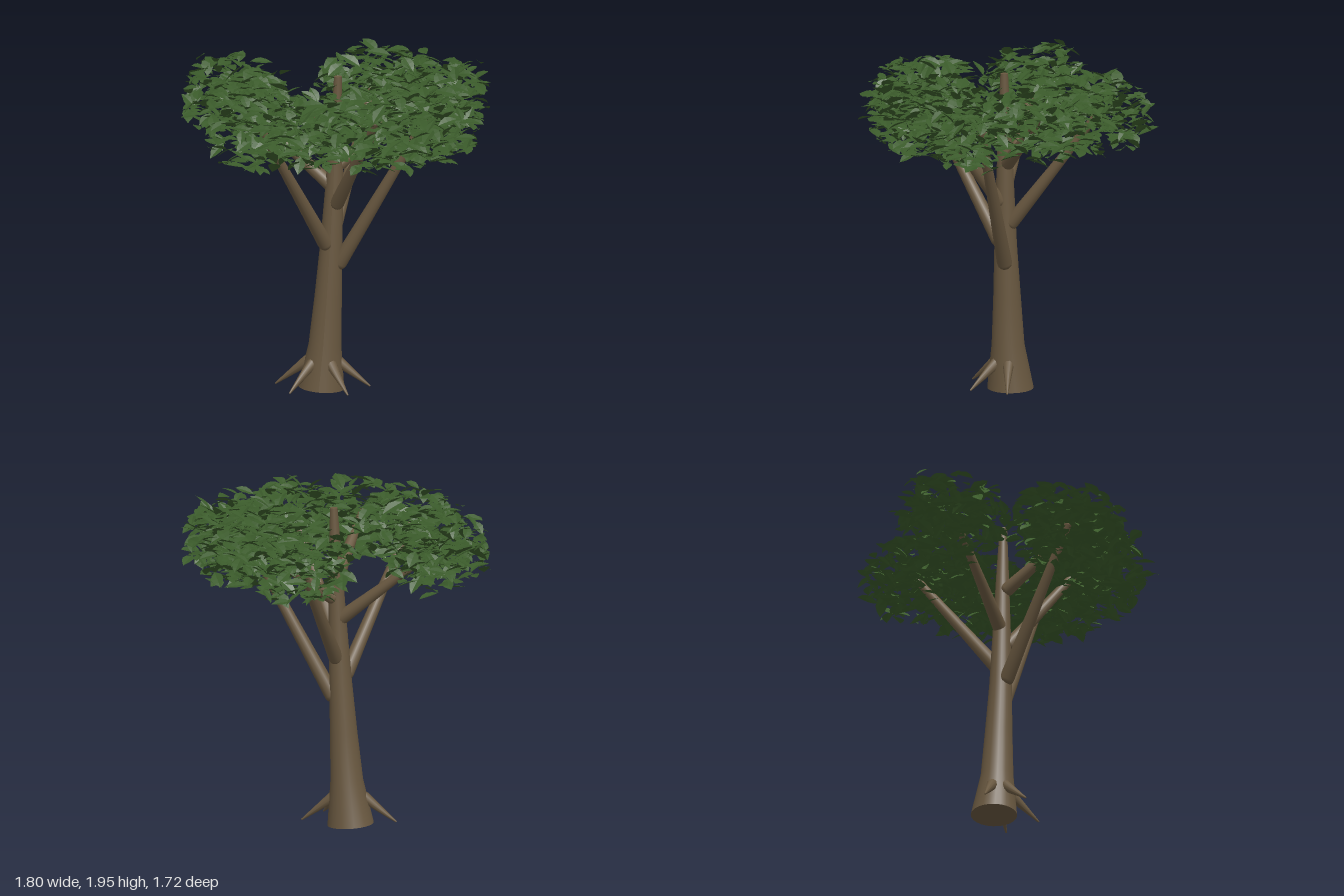
import * as THREE from 'three';
import { mergeGeometries } from 'three/addons/utils/BufferGeometryUtils.js';

const V = (x, y, z) => new THREE.Vector3(x, y, z);

// small seeded generator
let seed = 7;
function rnd() {
  seed = (seed * 1664525 + 1013904223) % 4294967296;
  return seed / 4294967296;
}
const spread = (a) => (rnd() * 2 - 1) * a;

// tapered limb with a rounded base, running from a to b
function limb(a, b, r0, r1, sides, material, name) {
  const length = a.distanceTo(b);
  const profile = [];
  for (let i = 0; i <= 4; i++) {
    const t = (i / 4) * Math.PI / 2;
    profile.push(new THREE.Vector2(Math.sin(t) * r0, -Math.cos(t) * r0));
  }
  profile.push(new THREE.Vector2(r1, length), new THREE.Vector2(0, length + r1 * 0.4));
  const mesh = new THREE.Mesh(new THREE.LatheGeometry(profile, sides), material);
  mesh.position.copy(a);
  mesh.quaternion.setFromUnitVectors(V(0, 1, 0), b.clone().sub(a).normalize());
  mesh.name = name;
  return mesh;
}

// leaning trunk: rings of [y, radius, x, z]
function trunkGeometry() {
  const rings = [[0, 0.133, -0.12, 0.02], [0.27, 0.094, -0.097, 0.033], [0.55, 0.079, -0.078, 0.038],
    [0.85, 0.065, -0.06, 0.045], [1.2, 0.052, -0.042, 0.048], [1.55, 0.037, -0.03, 0.05], [1.86, 0.022, -0.02, 0.052]];
  // doubled rim points keep the two end caps sharp
  const profile = [[0, 0], [0.133, 0], ...rings.map(([y, r]) => [r, y]), [0.022, 1.86], [0, 1.86]];
  const g = new THREE.LatheGeometry(profile.map(([r, y]) => new THREE.Vector2(r, y)), 24);
  const p = g.attributes.position;
  for (let i = 0; i < p.count; i++) {
    const y = p.getY(i);
    let k = 0;
    while (k < rings.length - 2 && y > rings[k + 1][0]) k++;
    const [a, b] = [rings[k], rings[k + 1]];
    const t = (y - a[0]) / (b[0] - a[0]);
    p.setX(i, p.getX(i) + a[2] + (b[2] - a[2]) * t);
    p.setZ(i, p.getZ(i) + a[3] + (b[3] - a[3]) * t);
    // the foot is cut at a slight slant
    if (y < 0.01) p.setY(i, Math.max(0, 0.01 - (p.getX(i) + 0.12) * 0.07));
  }
  g.computeVertexNormals();
  return g;
}

// one pointed leaf along z, folded a little at the midrib and drooping at the tip
function leafGeometry() {
  const widths = [0, 0.2, 0.27, 0.18, 0];
  const pos = [];
  const row = (i) => {
    const t = i / 4, w = widths[i], y = -0.12 * t * t;
    return [[-w, y + w * 0.22, t - 0.5], [0, y, t - 0.5], [w, y + w * 0.22, t - 0.5]];
  };
  for (let i = 0; i < 4; i++) {
    const a = row(i), b = row(i + 1);
    for (let s = 0; s < 2; s++) {
      if (i < 3) pos.push(...a[s], ...b[s], ...b[s + 1]);
      if (i > 0) pos.push(...a[s], ...b[s + (i === 3 ? 1 - s : 1)], ...a[s + 1]);
    }
  }
  const g = new THREE.BufferGeometry();
  g.setAttribute('position', new THREE.Float32BufferAttribute(pos, 3));
  g.computeVertexNormals();
  return g;
}

// cloud of mostly level leaves filling a flattened ball, with a few strays outside it
function leafCluster(leaf, [cx, cy, cz, radius, count]) {
  const leaves = [];
  const m = new THREE.Matrix4();
  const low = V(-0.9, 1.32, -0.88), high = V(0.88, 1.96, 0.88);
  for (let i = 0; i < count; i++) {
    const up = spread(1), around = rnd() * Math.PI * 2, flat = Math.sqrt(1 - up * up);
    const stray = rnd() < 0.06 ? 1 + rnd() * 0.3 : 1;
    const d = radius * Math.pow(rnd(), 0.42) * stray;
    const p = V(cx + Math.cos(around) * flat * d, cy + up * d * 0.74, cz + Math.sin(around) * flat * d);
    p.clamp(low, high);
    const size = 0.09 + rnd() * 0.05;
    const turn = new THREE.Euler(spread(0.6), rnd() * Math.PI * 2, spread(0.5), 'YXZ');
    m.compose(p, new THREE.Quaternion().setFromEuler(turn), V(size, size, size));
    leaves.push(leaf.clone().applyMatrix4(m));
  }
  return mergeGeometries(leaves);
}

export function createModel() {
  seed = 7;
  const bark = new THREE.MeshStandardMaterial({ color: 0x695840 });
  bark.name = 'bark brown';
  const green = new THREE.MeshStandardMaterial({ color: 0x3a5a2a, side: THREE.DoubleSide });
  green.name = 'leaf green';

  const tree = new THREE.Group();
  tree.name = 'tree';
  const trunk = new THREE.Mesh(trunkGeometry(), bark);
  trunk.name = 'trunk';
  tree.add(trunk);

  // four roots splayed around the sides and front of the foot
  const roots = new THREE.Group();
  roots.name = 'roots';
  for (const degrees of [0, 52, 128, 180]) {
    const a = degrees * Math.PI / 180;
    const at = (r, y) => V(-0.11 + Math.cos(a) * r, y, 0.028 + Math.sin(a) * r);
    roots.add(limb(at(0.09, 0.165), at(0.272, 0.025), 0.033, 0.005, 10, bark, 'root'));
  }
  tree.add(roots);

  // branches spiralling up the trunk: start, end, base radius
  const branches = new THREE.Group();
  branches.name = 'branches';
  const limbs = [
    [[-0.01, 0.76, 0.05], [0.5, 1.66, 0.17], 0.044],
    [[-0.09, 0.88, 0.09], [-0.41, 1.66, 0.52], 0.043],
    [[-0.035, 0.99, 0.01], [0.12, 1.66, -0.49], 0.042],
    [[-0.02, 1.12, 0.085], [0.24, 1.7, 0.46], 0.041],
    [[-0.07, 1.22, 0.04], [-0.56, 1.62, -0.08], 0.041],
    [[-0.01, 1.34, 0.03], [0.43, 1.7, -0.18], 0.04],
    [[-0.045, 1.46, 0.08], [-0.14, 1.74, 0.48], 0.04],
  ];
  for (const [a, b, r] of limbs) branches.add(limb(V(...a), V(...b), r, r * 0.5, 14, bark, 'branch'));
  tree.add(branches);

  // foliage at the branch ends: x, y, z, radius, leaf count
  const foliage = new THREE.Group();
  foliage.name = 'foliage';
  const leaf = leafGeometry();
  const clusters = [
    [0.51, 1.66, 0.22, 0.34, 340], [-0.4, 1.65, 0.51, 0.33, 340], [0.15, 1.67, -0.49, 0.33, 340],
    [0.29, 1.67, 0.48, 0.34, 340], [-0.63, 1.68, -0.11, 0.32, 340], [0.49, 1.69, -0.2, 0.33, 340],
    [-0.08, 1.69, 0.53, 0.32, 300],
  ];
  for (const c of clusters) {
    const mesh = new THREE.Mesh(leafCluster(leaf, c), green);
    mesh.name = 'leafCluster';
    foliage.add(mesh);
  }
  tree.add(foliage);
  return tree;
}
